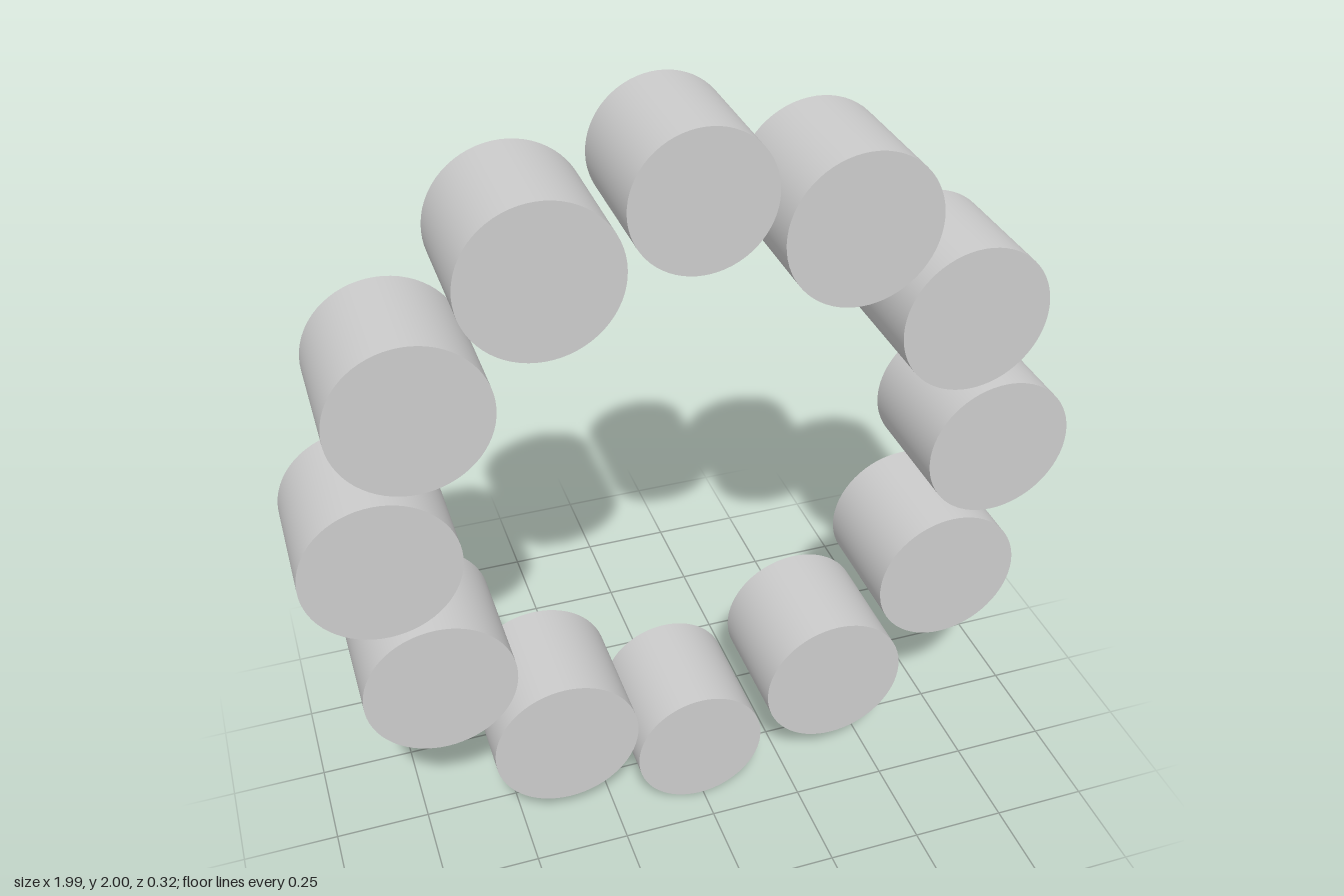
import * as THREE from 'three';

export function createModel() {
  const group = new THREE.Group();
  const material = new THREE.MeshStandardMaterial({ color: 0xcccccc });
  const depth = 0.324;

  // A round post lying along z
  const makePost = (radius) =>
    new THREE.CylinderGeometry(radius, radius, depth, 64).rotateX(Math.PI / 2);
  const large = makePost(0.195);
  const small = makePost(0.176);

  const addPost = (name, geometry, x, y) => {
    const mesh = new THREE.Mesh(geometry, material);
    mesh.name = name;
    mesh.position.set(x, y, 0);
    group.add(mesh);
  };

  // Slimmer posts at the top and bottom of the ring
  addPost('topPost', small, -0.009, 1.824);
  addPost('bottomPost', small, -0.009, 0.176);

  // Five larger posts down each side, as [x, height above the ring centre]
  const sidePosts = [[0.38, 0.692], [0.692, 0.4], [0.799, 0], [0.692, -0.4], [0.38, -0.692]];
  for (const [side, sign] of [['left', 1], ['right', -1]]) {
    sidePosts.forEach(([x, y], i) => addPost(`${side}Post${i + 1}`, large, sign * x, 1 + y));
  }

  return group;
}
